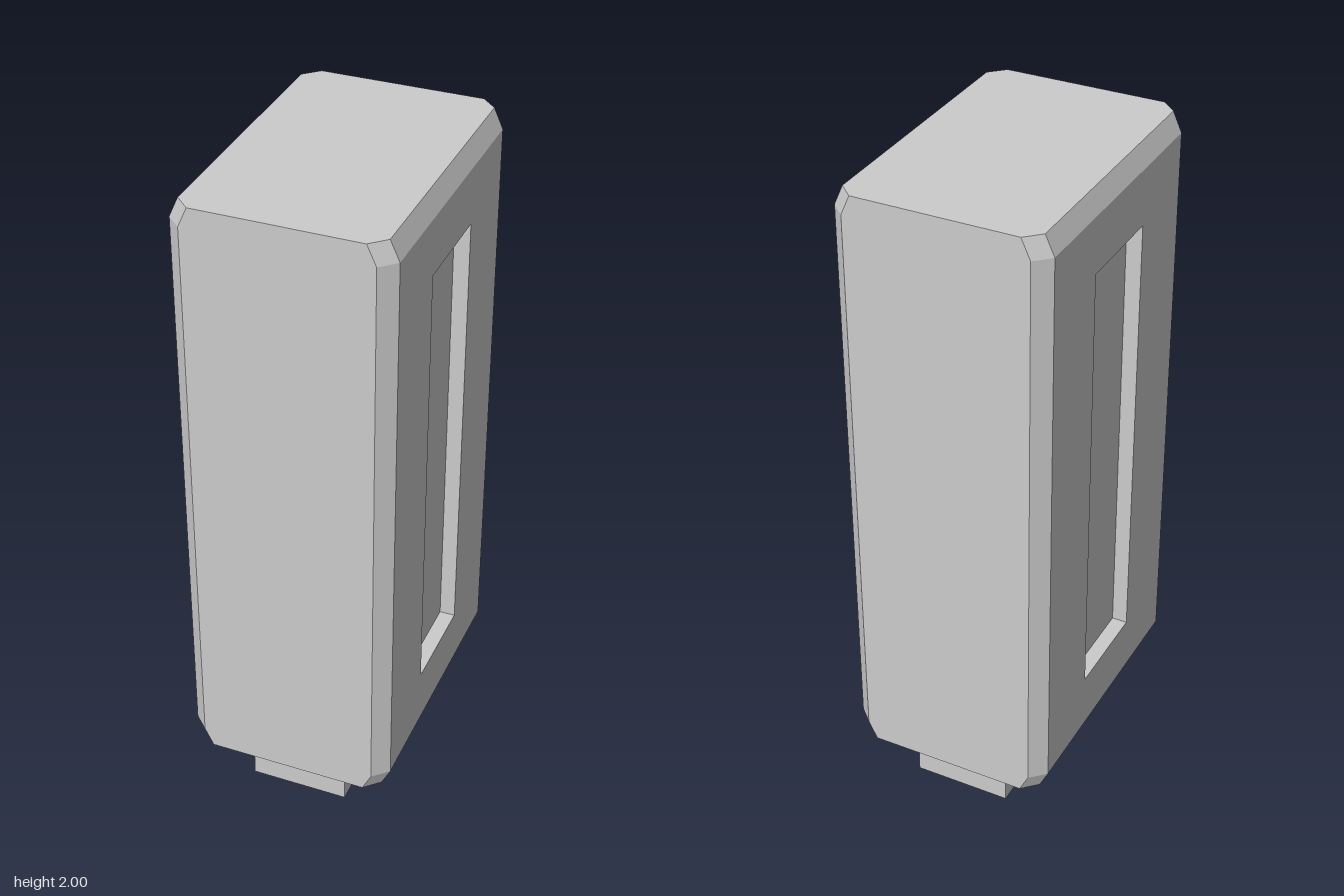
import * as THREE from 'three';

const material = new THREE.MeshStandardMaterial({ color: 0xcccccc, flatShading: true });

// Joins rings of [x, y, z] points with quads; skip(ring, side) leaves a quad open.
function loft(rings, { capStart = false, skip = () => false } = {}) {
  const positions = [];
  const tri = (...points) => points.forEach((p) => positions.push(...p));
  const fan = (ring) => {
    for (let i = 1; i < ring.length - 1; i++) tri(ring[0], ring[i], ring[i + 1]);
  };
  for (let r = 0; r < rings.length - 1; r++) {
    const lower = rings[r], upper = rings[r + 1], n = lower.length;
    for (let i = 0; i < n; i++) {
      if (skip(r, i)) continue;
      const j = (i + 1) % n;
      tri(lower[i], lower[j], upper[j]);
      tri(lower[i], upper[j], upper[i]);
    }
  }
  if (capStart) fan([...rings[0]].reverse());
  fan(rings[rings.length - 1]);
  const geometry = new THREE.BufferGeometry();
  geometry.setAttribute('position', new THREE.Float32BufferAttribute(positions, 3));
  geometry.computeVertexNormals();
  return geometry;
}

// Octagonal plan with chamfered corners; inset narrows it in x only.
function bodyRing(y, inset) {
  const a = 0.27 - inset, b = 0.315 - inset;
  return [
    [-a, 0.44], [a, 0.44], [b, 0.397], [b, -0.397],
    [a, -0.44], [-a, -0.44], [-b, -0.397], [-b, 0.397],
  ].map(([x, z]) => [x, y, z]);
}

// Rectangle facing +x.
function sideRing(x, halfZ, y0, y1) {
  return [[x, y0, halfZ], [x, y0, -halfZ], [x, y1, -halfZ], [x, y1, halfZ]];
}

export function createModel() {
  const model = new THREE.Group();
  const add = (name, geometry) => {
    const mesh = new THREE.Mesh(geometry, material);
    mesh.name = name;
    model.add(mesh);
    return mesh;
  };

  // Chamfered block, open where the two side panels sit
  const yLow = 0.215, yHigh = 1.94;
  add('body', loft(
    [bodyRing(0.16, 0.027), bodyRing(yLow, 0), bodyRing(yHigh, 0), bodyRing(2, 0.027)],
    { capStart: true, skip: (r, i) => r === 1 && (i === 2 || i === 6) },
  ));

  // Side panels, each with a tall rectangular recess
  const panel = loft([
    sideRing(0.315, 0.397, yLow, yHigh),
    sideRing(0.315, 0.15, 0.39, 1.77),
    sideRing(0.268, 0.15, 0.39, 1.77),
  ]);
  add('leftPanel', panel);
  add('rightPanel', panel).rotation.y = Math.PI;

  // Plug under the block
  add('plug', new THREE.BoxGeometry(0.3, 0.16, 0.7)).position.y = 0.08;

  return model;
}
